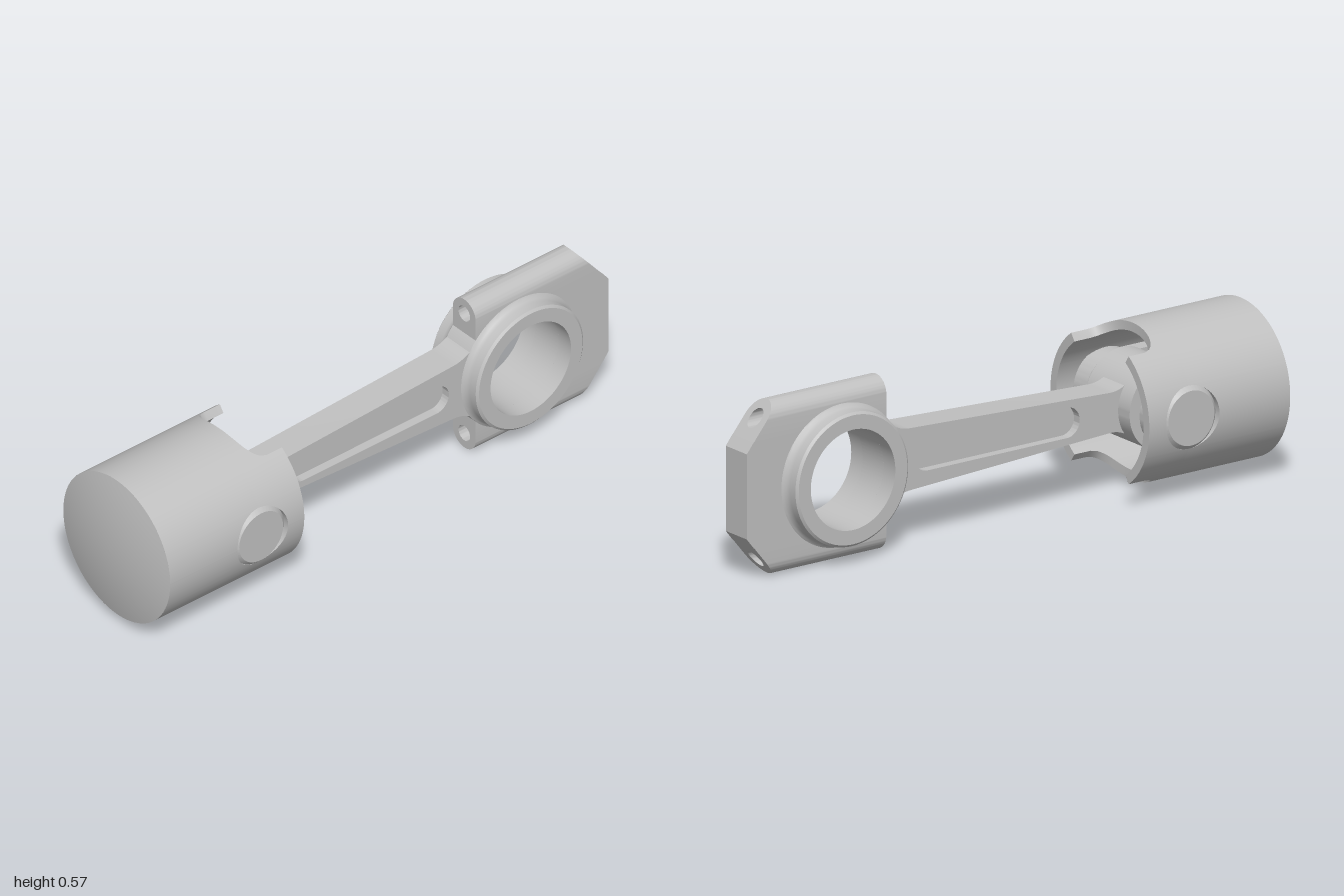
import * as THREE from 'three';
import { toCreasedNormals } from 'three/addons/utils/BufferGeometryUtils.js';

const R = 0.258, RI = 0.228;           // piston outer and inner radius
const PIN_Z = 0.59, BORE_Z = -0.63;    // the two bearing axes
const HOLE = 0.104;                    // pin hole in the skirt

export function createModel() {
  const steel = new THREE.MeshStandardMaterial({ color: 0xc0c0c0, side: THREE.DoubleSide });
  steel.name = 'steel grey';
  const model = new THREE.Group();
  model.name = 'pistonAndRod';
  const add = (name, geo, parent) => {
    const mesh = new THREE.Mesh(geo, steel);
    mesh.name = name;
    parent.add(mesh);
    return mesh;
  };
  const part = (name) => {
    const g = new THREE.Group();
    g.name = name;
    model.add(g);
    return g;
  };
  const V = (pts) => pts.map(([x, y]) => new THREE.Vector2(x, y));

  // Turned part about the x axis; points are [radius, x]
  const turnedX = (pts, z) => toCreasedNormals(
    new THREE.LatheGeometry(V(pts), 96).rotateZ(-Math.PI / 2).translate(0, 0, z), 0.6);

  // Plate cut from a (z, y) outline, centred on x
  const plate = (shape, depth) => toCreasedNormals(
    new THREE.ExtrudeGeometry(shape, { depth, bevelEnabled: false, curveSegments: 40 })
      .translate(0, 0, -depth / 2).rotateY(-Math.PI / 2), 0.5);

  // ---------- Piston ----------
  const piston = part('piston');

  // Angles round the skirt, with extra ones at the notch steps and hole edges
  const angles = [];
  for (let i = 0; i <= 192; i++) angles.push(i / 192 * Math.PI * 2);
  const step = Math.asin(0.21 / R), edge = Math.asin(HOLE / R);
  for (const a of [step - 0.0005, step + 0.0005, edge, edge - 0.008])
    angles.push(a, Math.PI - a, Math.PI + a, 2 * Math.PI - a);
  angles.sort((a, b) => a - b);

  // Open end of the skirt, with curved notches at top and bottom
  const skirtEnd = (a) => {
    const d = R * Math.abs(Math.sin(a));
    return d < 0.21 ? 0.42 : 0.48 + Math.sqrt(Math.max(0, 0.07 ** 2 - (0.28 - d) ** 2));
  };
  const holeHalf = (a) => Math.sqrt(Math.max(0, HOLE ** 2 - (R * Math.sin(a)) ** 2));

  // Strip between two loops, each given as angle -> [radius, z]
  const strip = (from, to) => {
    const pos = [], idx = [];
    angles.forEach((a, i) => {
      for (const [r, z] of [from(a), to(a)]) pos.push(r * Math.cos(a), r * Math.sin(a), z);
      const k = i * 2;
      if (i) idx.push(k - 2, k, k - 1, k, k + 1, k - 1);
    });
    const g = new THREE.BufferGeometry();
    g.setAttribute('position', new THREE.Float32BufferAttribute(pos, 3));
    g.setIndex(idx);
    g.computeVertexNormals();
    return g;
  };
  add('skirtUpper', strip((a) => [R, PIN_Z + holeHalf(a)], () => [R, 0.97]), piston);
  add('skirtLower', strip((a) => [R, skirtEnd(a)], (a) => [R, PIN_Z - holeHalf(a)]), piston);
  add('skirtInside', strip(() => [RI, 0.85], (a) => [RI, skirtEnd(a)]), piston);
  add('skirtRim', strip((a) => [RI, skirtEnd(a)], (a) => [R, skirtEnd(a)]), piston);
  add('crownInside', new THREE.CircleGeometry(RI, 96).rotateY(Math.PI).translate(0, 0, 0.85), piston);

  // Slightly domed crown
  const dome = [];
  for (let i = 0; i <= 12; i++) {
    const t = 1 - i / 12;
    dome.push([R * t, 1 - 0.03 * t * t]);
  }
  add('crown', new THREE.LatheGeometry(V(dome), 128).rotateX(Math.PI / 2), piston);

  // Pin bosses, webs and the recessed hole edges, mirrored left and right
  for (const s of [1, -1]) {
    const side = s > 0 ? 'left' : 'right';
    add(side + 'PinBoss', turnedX([[0.09, 0.14 * s], [0.12, 0.14 * s], [0.12, 0.205 * s]], PIN_Z), piston);
    const web = add(side + 'BossWeb', new THREE.BoxGeometry(0.05, 0.22, 0.26), piston);
    web.position.set(0.165 * s, 0, 0.725);
    add(side + 'PinChamfer', turnedX([[0.09, 0.25 * s], [HOLE, 0.236 * s]], PIN_Z), piston);
    const wall = new THREE.CylinderGeometry(HOLE, HOLE, 1, 96, 1, true).rotateZ(-Math.PI / 2);
    const p = wall.attributes.position;
    for (let i = 0; i < p.count; i++)
      p.setX(i, s * (p.getX(i) > 0 ? Math.sqrt(R * R - p.getY(i) ** 2) : 0.236));
    wall.translate(0, 0, PIN_Z);
    wall.computeVertexNormals();
    add(side + 'HoleWall', wall, piston);
  }

  // Wrist pin
  add('wristPin', new THREE.CylinderGeometry(0.09, 0.09, 0.5, 96).rotateZ(Math.PI / 2)
    .translate(0, 0, PIN_Z), model);

  // ---------- Connecting rod ----------
  const rod = part('connectingRod');
  add('smallEnd', turnedX([[0.09, -0.115], [0.14, -0.115], [0.14, 0.115], [0.09, 0.115]], PIN_Z), rod);

  // Tapered beam that flares into both ends, with a slot
  const beam = new THREE.Shape();
  beam.moveTo(0.5, -0.1);
  beam.lineTo(0.5, 0.1);
  beam.quadraticCurveTo(0.47, 0.066, 0.42, 0.066);
  beam.lineTo(-0.36, 0.102);
  beam.quadraticCurveTo(-0.42, 0.105, -0.455, 0.145);
  beam.lineTo(-0.455, -0.145);
  beam.quadraticCurveTo(-0.42, -0.105, -0.36, -0.102);
  beam.lineTo(0.42, -0.066);
  beam.quadraticCurveTo(0.47, -0.066, 0.5, -0.1);
  const slot = new THREE.Path();
  slot.absarc(0.25, 0, 0.05, -Math.PI / 2, Math.PI / 2, false);
  slot.absarc(-0.295, 0, 0.05, Math.PI / 2, Math.PI * 1.5, false);
  slot.closePath();
  beam.holes.push(slot);
  add('beam', plate(beam, 0.11), rod);
  const floor = add('slotFloor', new THREE.BoxGeometry(0.05, 0.104, 0.65), rod);
  floor.position.z = -0.0225;

  // Big end slab with the bearing bore
  const slab = new THREE.Shape(V([[-0.455, -0.174], [-0.455, 0.174], [-0.973, 0.174],
    [-1, 0.14], [-1, -0.14], [-0.973, -0.174]]));
  slab.holes.push(new THREE.Path().absarc(BORE_Z, 0, 0.165, 0, Math.PI * 2, true));
  add('bigEnd', plate(slab, 0.11), rod);

  // Rounded bolt shoulders, their backs cut on a slant
  const section = new THREE.Shape();
  section.moveTo(-0.055, 0.174);
  section.lineTo(0.055, 0.174);
  section.absarc(0, 0.231, 0.055, 0, Math.PI, false);
  section.closePath();
  section.holes.push(new THREE.Path().absarc(0, 0.231, 0.028, 0, Math.PI * 2, true));
  const shoulder = new THREE.ExtrudeGeometry(section, { depth: 1, bevelEnabled: false, curveSegments: 24 });
  const sp = shoulder.attributes.position;
  for (let i = 0; i < sp.count; i++)
    sp.setZ(i, sp.getZ(i) > 0.5 ? -0.455 : -0.88 - (0.286 - sp.getY(i)) * 0.82);
  const shoulderGeo = toCreasedNormals(shoulder, 0.5);
  add('upperBoltShoulder', shoulderGeo, rod);
  add('lowerBoltShoulder', shoulderGeo, rod).rotation.z = Math.PI;

  // Bearing ring with a small fillet at its foot on each face
  const half = [[0.165, 0.115], [0.212, 0.115], [0.22, 0.108], [0.22, 0.08],
    [0.223, 0.067], [0.23, 0.058], [0.235, 0.055]];
  const ring = [...half, ...half.map(([r, x]) => [r, -x]).reverse(), half[0]];
  add('bearingRing', turnedX(ring, BORE_Z), rod);

  model.position.y = 0.286;
  const root = new THREE.Group();
  root.add(model);
  return root;
}
